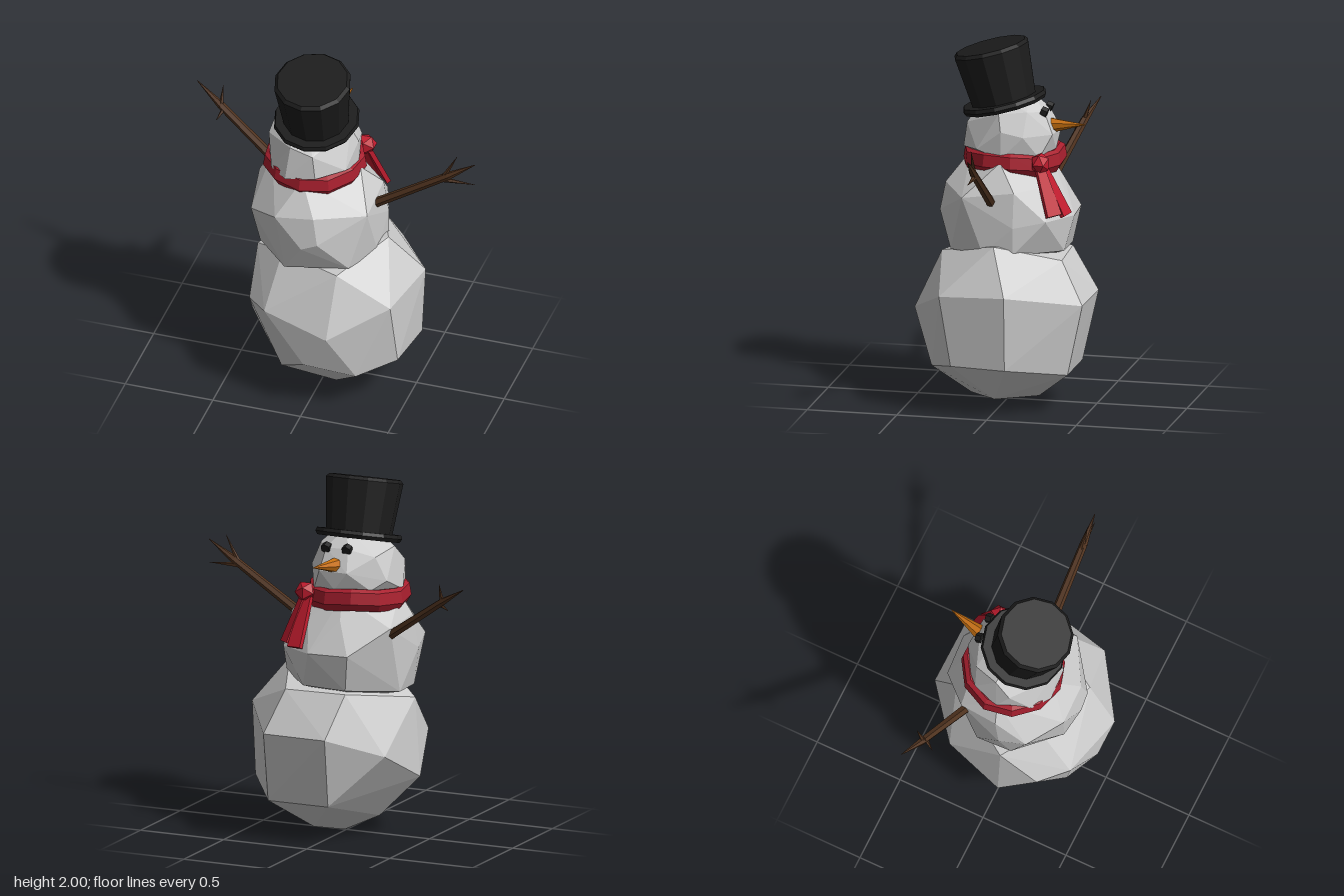
import * as THREE from 'three';
import { ConvexGeometry } from 'three/addons/geometries/ConvexGeometry.js';

const mat = (color) => new THREE.MeshStandardMaterial({ color, flatShading: true });
const snow = mat(0xcccccc), black = mat(0x1c1c1c), wood = mat(0x50331f);
const red = mat(0xa81f2e), brightRed = mat(0xc01c2e), orange = mat(0xc87010);
const V = (p) => new THREE.Vector3(...p);

function add(parent, name, geometry, material) {
  const mesh = new THREE.Mesh(geometry, material);
  mesh.name = name;
  parent.add(mesh);
  return mesh;
}

// Rough faceted snowball from a few corner points
const snowball = (points) => new ConvexGeometry(points.map(V));

// Tapered stick between two points
function stick(a, b, r0, r1, sides = 6) {
  const p = V(a), q = V(b), dir = q.clone().sub(p);
  const g = new THREE.CylinderGeometry(r1, r0, dir.length(), sides);
  g.applyQuaternion(new THREE.Quaternion().setFromUnitVectors(new THREE.Vector3(0, 1, 0), dir.normalize()));
  const mid = p.add(q).multiplyScalar(0.5);
  return g.translate(mid.x, mid.y, mid.z);
}

// Flat strip of cloth that widens from a to b
function ribbon(a, b, w0, w1, side) {
  const p = V(a), q = V(b), y = q.clone().sub(p), len = y.length();
  y.normalize();
  const z = V(side).cross(y).normalize();
  const x = y.clone().cross(z);
  const g = new THREE.BoxGeometry(1, len, 0.025);
  const pos = g.attributes.position;
  for (let i = 0; i < pos.count; i++) pos.setX(i, pos.getX(i) * (pos.getY(i) < 0 ? w0 : w1));
  const mid = p.add(q).multiplyScalar(0.5);
  return g.applyMatrix4(new THREE.Matrix4().makeBasis(x, y, z).setPosition(mid));
}

function arm(name, root, fork, tip, twigs) {
  const group = new THREE.Group();
  group.name = name;
  add(group, 'branch', stick(root, fork, 0.027, 0.022), wood);
  add(group, 'branchTip', stick(fork, tip, 0.022, 0.002), wood);
  twigs.forEach(([a, b]) => add(group, 'twig', stick(a, b, 0.016, 0.001, 5), wood));
  return group;
}

export function createModel() {
  const model = new THREE.Group();
  model.name = 'snowman';

  // Three snowballs
  add(model, 'bottomBall', snowball([
    [0.01, 0, 0], [0.31, 0.07, 0], [0.1, 0.05, 0.18], [0.1, 0.05, -0.2], [-0.2, 0.1, 0],
    [0.5, 0.28, -0.1], [0.46, 0.28, 0.21], [0.52, 0.69, -0.1], [0.44, 0.66, 0.28],
    [0.14, 0.52, 0.485], [0, 0.31, 0.45], [0.27, 0.23, 0.36], [-0.24, 0.58, 0.4], [-0.16, 0.2, 0.34],
    [-0.42, 0.33, 0.05], [-0.39, 0.77, 0.05], [-0.37, 0.55, 0.26], [-0.36, 0.5, -0.27],
    [-0.1, 0.61, -0.485], [0.27, 0.61, -0.48], [0.28, 0.22, -0.4], [-0.08, 0.22, -0.4],
    [0.34, 0.93, 0], [0.15, 0.85, 0.33], [0.2, 0.84, -0.35], [-0.15, 0.84, -0.33], [-0.2, 0.85, 0.2],
  ]), snow);
  add(model, 'middleBall', snowball([
    [0.31, 0.88, -0.1], [0.3, 0.88, 0.07], [0.31, 1.03, -0.1], [0.28, 1.22, -0.1], [0.28, 1.18, 0.19],
    [0.2, 0.87, 0.27], [0.05, 1.05, 0.365], [-0.04, 1.01, 0.37], [0.02, 1.2, 0.34], [-0.2, 1.17, 0.34],
    [-0.15, 0.84, 0.32], [-0.36, 0.83, 0.1], [-0.37, 0.83, -0.1], [-0.41, 1.05, 0.05], [-0.38, 1.1, 0.2],
    [-0.39, 1.24, 0.02], [-0.36, 1.2, -0.2], [-0.18, 1.06, -0.37], [0.05, 1.06, -0.385], [0.25, 1.06, -0.27],
    [-0.15, 0.86, -0.33], [0.1, 0.87, -0.34], [-0.1, 1.24, -0.29], [0.1, 1.23, -0.27],
    [0.18, 1.36, 0], [-0.08, 1.36, 0.22], [-0.32, 1.36, 0], [-0.08, 1.36, -0.22], [-0.05, 0.75, 0],
  ]), snow);
  add(model, 'head', snowball([
    [-0.34, 1.38, 0], [-0.32, 1.53, 0.07], [-0.3, 1.62, -0.02], [-0.27, 1.38, 0.18], [-0.31, 1.45, -0.14],
    [-0.15, 1.56, 0.22], [0, 1.4, 0.245], [-0.17, 1.37, 0.25], [-0.02, 1.53, 0.23], [0.14, 1.42, 0.14],
    [0.17, 1.53, 0], [0.17, 1.38, 0], [0.13, 1.62, 0.02], [0.15, 1.5, -0.12], [0.1, 1.38, -0.2],
    [0.04, 1.5, -0.26], [-0.13, 1.5, -0.27], [-0.05, 1.4, -0.26], [-0.24, 1.4, -0.2], [-0.25, 1.58, -0.16],
    [-0.11, 1.62, -0.21], [0.02, 1.62, -0.21], [0.09, 1.63, -0.13], [-0.05, 1.72, -0.11],
    [-0.2, 1.68, 0], [0.05, 1.69, 0], [-0.08, 1.64, 0.12],
  ]), snow);

  // Top hat, leaning back
  const hat = new THREE.Group();
  hat.name = 'topHat';
  const crown = [[0, 0], [0.18, 0], [0.212, 0.3], [0.195, 0.318], [0, 0.318]];
  const brim = [[0, -0.02], [0.225, -0.02], [0.238, 0], [0.23, 0.02], [0, 0.02]];
  for (const [name, profile] of [['hatCrown', crown], ['hatBrim', brim]])
    add(hat, name, new THREE.LatheGeometry(profile.map((p) => new THREE.Vector2(...p)), 12), black);
  hat.position.set(-0.06, 1.645, 0.03);
  hat.rotation.x = 0.25;
  model.add(hat);

  // Scarf: wavy band, knot and two hanging ends
  const band = [[0.2, -0.055], [0.26, -0.06], [0.285, -0.02], [0.275, 0.045], [0.25, 0.06], [0.2, 0.05], [0.2, -0.055]];
  const ring = new THREE.LatheGeometry(band.map((p) => new THREE.Vector2(...p)), 11);
  const pos = ring.attributes.position;
  for (let i = 0; i < pos.count; i++) {
    const a = Math.atan2(pos.getZ(i), pos.getX(i));
    pos.setY(i, pos.getY(i) + 0.01 * Math.sin(3 * a + 1));
  }
  add(model, 'scarfBand', ring, red).position.set(-0.085, 1.345, -0.02);
  const knot = add(model, 'scarfKnot', new THREE.IcosahedronGeometry(0.065), brightRed);
  knot.position.set(0.14, 1.36, -0.215);
  knot.scale.set(1, 0.95, 0.85);
  add(model, 'scarfEnd', ribbon([0.12, 1.35, -0.22], [0.14, 1.08, -0.36], 0.05, 0.09, [1, 0, 0.3]), brightRed);
  add(model, 'scarfEnd', ribbon([0.15, 1.35, -0.21], [0.22, 1.09, -0.31], 0.05, 0.09, [0.7, 0, 0.7]), brightRed);

  // Carrot nose and coal eyes
  add(model, 'nose', stick([-0.05, 1.53, -0.22], [-0.005, 1.555, -0.43], 0.045, 0.002, 7), orange);
  for (const x of [-0.105, 0.02]) {
    const eye = add(model, 'eye', new THREE.CylinderGeometry(0.028, 0.028, 0.035, 6), black);
    eye.position.set(x, 1.62, -0.21);
    eye.rotation.x = 1.2;
  }

  // Branch arms with forked twigs
  model.add(arm('leftArm', [0.27, 1.16, 0.03], [0.69, 1.43, 0.03], [0.84, 1.53, 0.025], [
    [[0.66, 1.41, 0.03], [0.74, 1.565, 0.03]],
    [[0.65, 1.4, 0.03], [0.84, 1.4, 0.025]],
  ]));
  model.add(arm('rightArm', [-0.34, 1.155, -0.17], [-0.7, 1.4, -0.265], [-0.855, 1.495, -0.32], [
    [[-0.7, 1.39, -0.26], [-0.7, 1.51, -0.3]],
    [[-0.68, 1.39, -0.26], [-0.71, 1.34, -0.205]],
  ]));
  return model;
}
